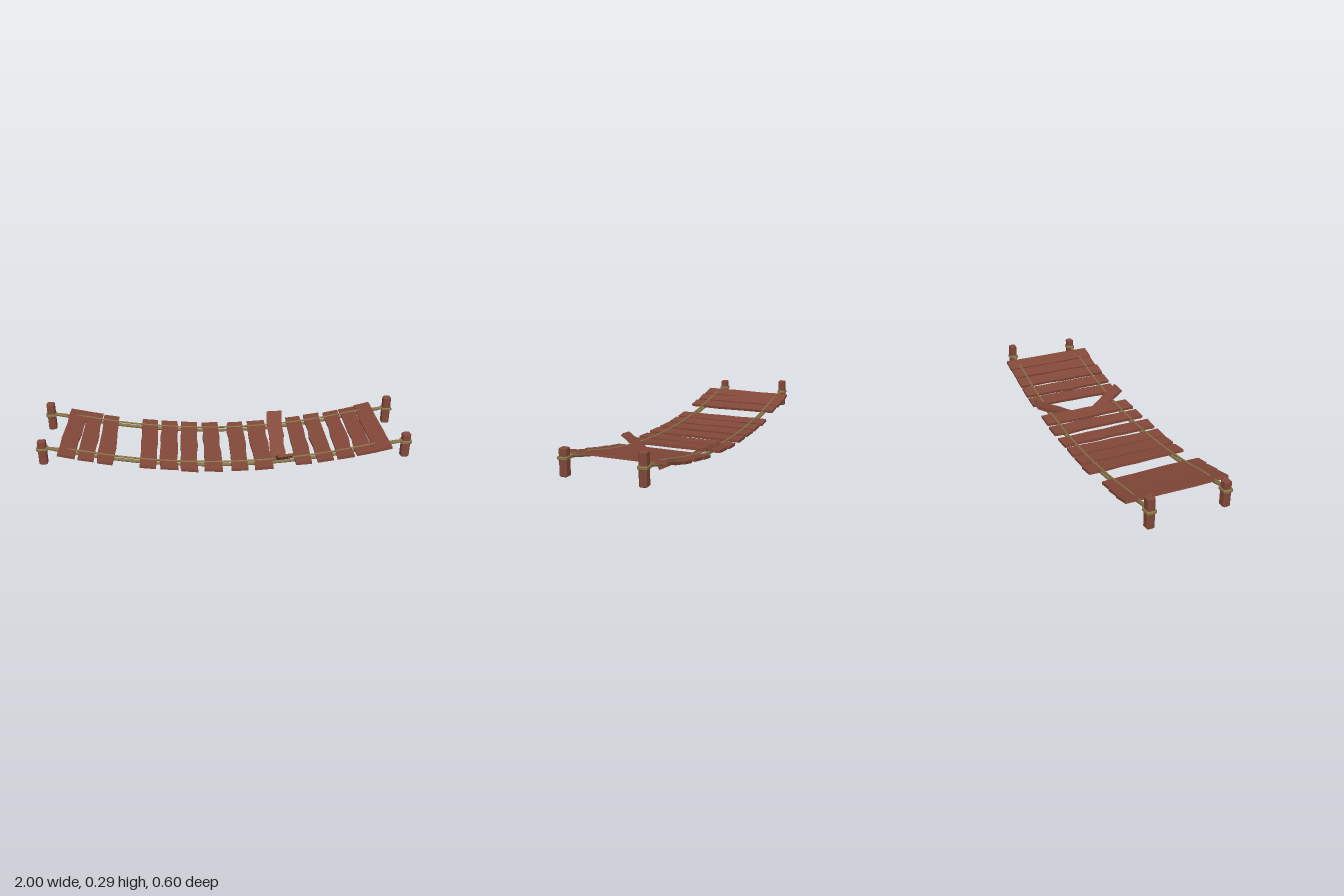
import * as THREE from 'three';

export function createModel() {
  const bridge = new THREE.Group();
  bridge.name = 'ropeBridge';
  const wood = new THREE.MeshStandardMaterial({ color: 0x84493a, flatShading: true });
  wood.name = 'reddish wood';
  const hemp = new THREE.MeshStandardMaterial({ color: 0x8a7648 });
  hemp.name = 'hemp rope';

  let seed = 7;
  const jitter = (amount) => {
    seed = (seed * 16807) % 2147483647;
    return (seed / 2147483647 - 0.5) * 2 * amount;
  };
  const add = (name, geometry, material) => {
    const mesh = new THREE.Mesh(geometry, material);
    mesh.name = name;
    bridge.add(mesh);
    return mesh;
  };

  // Sagging line shared by ropes and planks
  const sag = (x) => 0.095 + 0.13 * (x / 0.95) ** 2;
  const slope = (x) => (2 * 0.13 * x) / 0.95 ** 2;

  // Rough board between a back and a front point, with wavy edges and uneven ends
  function plank(name, back, front, width, thickness, roughEnd = 0.004) {
    const dir = front.clone().sub(back);
    const length = dir.length();
    const steps = 6;
    const geo = new THREE.BoxGeometry(width, thickness, length, 1, 1, steps);
    const edges = [0, 1].map(() => Array.from({ length: steps + 1 }, () => jitter(0.005)));
    const ends = [0, 1, 2, 3].map((i) => jitter(i > 1 ? roughEnd : 0.004));
    const p = geo.attributes.position;
    for (let i = 0; i < p.count; i++) {
      const side = p.getX(i) > 0 ? 1 : 0;
      const k = Math.round((p.getZ(i) / length + 0.5) * steps);
      p.setX(i, p.getX(i) + edges[side][k]);
      if (k === 0) p.setZ(i, p.getZ(i) + ends[side]);
      if (k === steps) p.setZ(i, p.getZ(i) + ends[2 + side]);
    }
    geo.computeVertexNormals();
    const mesh = add(name, geo, wood);
    mesh.position.copy(back).add(front).multiplyScalar(0.5);
    mesh.rotation.set(
      Math.atan2(-dir.y, dir.z),
      Math.asin(dir.x / length),
      Math.atan(slope(mesh.position.x))
    );
  }

  // Whole planks: back x, front x, width, back z, front z
  [
    [-0.818, -0.842, 0.093, -0.3, 0.24],
    [-0.73, -0.74, 0.09, -0.295, 0.245],
    [-0.63, -0.64, 0.088, -0.285, 0.255],
    [-0.41, -0.417, 0.09, -0.29, 0.255],
    [-0.294, -0.307, 0.094, -0.285, 0.255],
    [-0.18, -0.2, 0.09, -0.275, 0.27],
    [-0.056, -0.07, 0.094, -0.27, 0.275],
    [0.088, 0.07, 0.094, -0.27, 0.275],
    [0.21, 0.2, 0.1, -0.265, 0.28],
    [0.436, 0.414, 0.09, -0.26, 0.275],
    [0.54, 0.53, 0.093, -0.26, 0.285],
    [0.66, 0.634, 0.088, -0.25, 0.29],
    [0.754, 0.74, 0.09, -0.25, 0.285],
    [0.84, 0.83, 0.09, -0.25, 0.29],
  ].forEach(([xb, xf, w, zb, zf], i) => {
    const y = sag((xb + xf) / 2) + 0.011;
    plank('plank' + (i + 1), new THREE.Vector3(xb, y + jitter(0.002), zb),
      new THREE.Vector3(xf, y + jitter(0.002), zf), w, 0.015);
  });

  // Snapped plank: two halves hanging from the ropes
  plank('brokenPlankBack', new THREE.Vector3(0.324, 0.172, -0.268),
    new THREE.Vector3(0.31, 0.014, 0.045), 0.086, 0.02, 0.008);
  plank('brokenPlankFront', new THREE.Vector3(0.308, 0.057, 0.1),
    new THREE.Vector3(0.315, 0.176, 0.262), 0.08, 0.015);

  // Square outline with cut corners
  function cutSquare(hx, hz, c) {
    return new THREE.Shape([
      [hx - c, -hz], [hx, -hz + c], [hx, hz - c], [hx - c, hz],
      [-hx + c, hz], [-hx, hz - c], [-hx, -hz + c], [-hx + c, -hz],
    ].map(([x, y]) => new THREE.Vector2(x, y)));
  }

  // Upright block from y0 to y1 with bevelled ends
  function block(name, x, z, y0, y1, hx, hz, cut, bevel, material) {
    const geo = new THREE.ExtrudeGeometry(cutSquare(hx - bevel, hz - bevel, cut), {
      depth: y1 - y0 - 2 * bevel, bevelEnabled: true, bevelSegments: 1,
      bevelSize: bevel, bevelThickness: bevel,
    });
    geo.rotateX(-Math.PI / 2);
    add(name, geo, material).position.set(x, y0 + bevel, z);
  }

  // Each side: two posts with rope bindings, a carrying rope and a thin lashing rope
  [
    { side: 'front', zRight: 0.165, zLeft: 0.225, top: 0.265 },
    { side: 'back', zRight: -0.237, zLeft: -0.177, top: 0.29 },
  ].forEach(({ side, zRight, zLeft, top }) => {
    [[-0.97, zRight, 'Right'], [0.97, zLeft, 'Left']].forEach(([x, z, end]) => {
      block(side + end + 'Post', x, z, 0.13, top, 0.022, 0.02, 0.004, 0.004, wood);
      block(side + end + 'Binding', x, z, 0.21, 0.227, 0.03, 0.025, 0.006, 0.003, hemp);
    });
    const rope = (name, reach, lift, radius) => {
      const points = Array.from({ length: 13 }, (_, i) => {
        const x = -reach + (2 * reach * i) / 12;
        const z = THREE.MathUtils.lerp(zRight, zLeft, (x + 0.97) / 1.94);
        return new THREE.Vector3(x, Math.min(sag(x) + lift, 0.222), z);
      });
      add(name, new THREE.TubeGeometry(new THREE.CatmullRomCurve3(points), 48, radius, 8), hemp);
    };
    rope(side + 'CarryingRope', 0.955, 0, 0.009);
    rope(side + 'LashingRope', 0.93, 0.019, 0.005);
  });

  return bridge;
}
